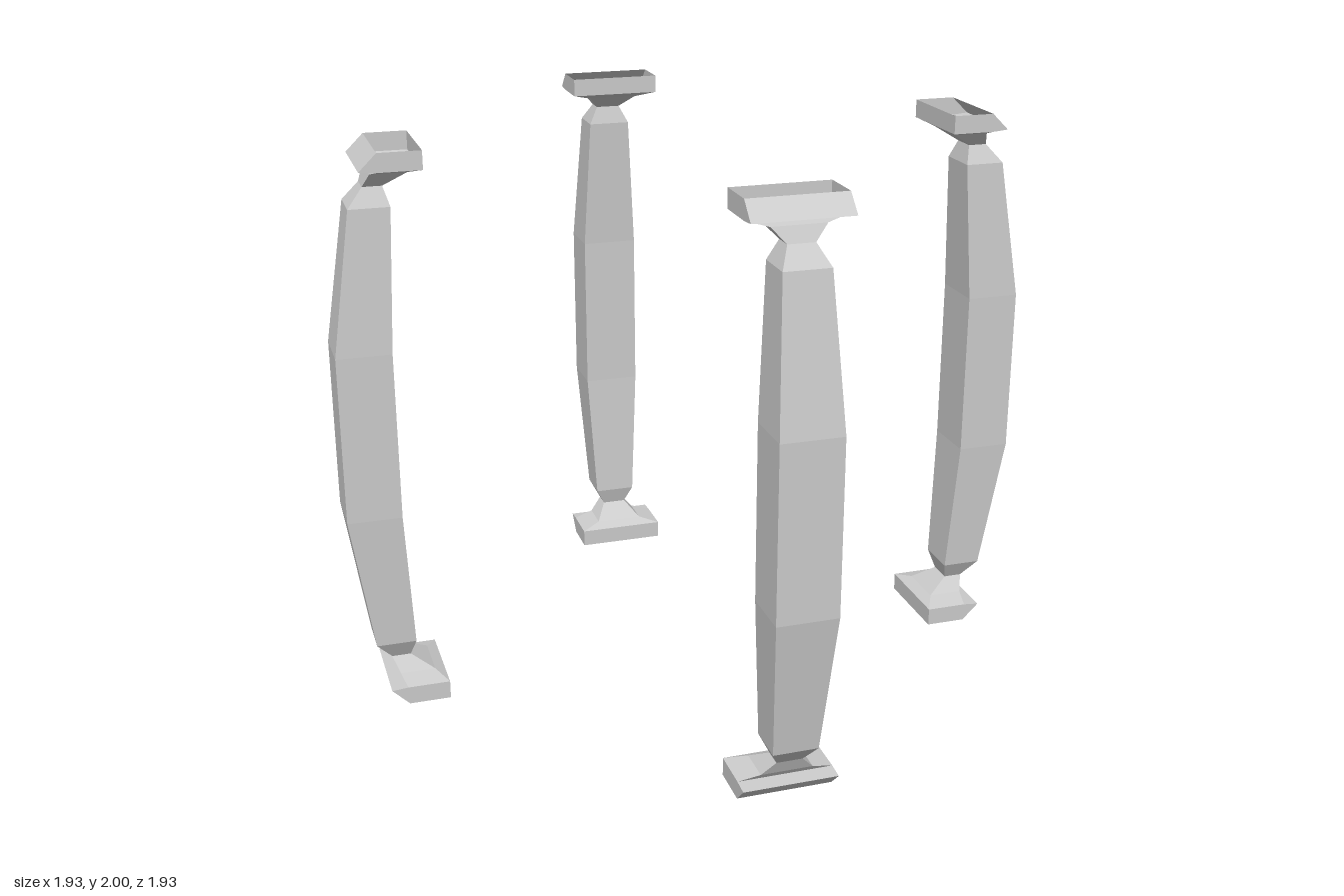
import * as THREE from 'three';

// Upper half cross-sections: [height, inner radius, outer radius, half width]
const UPPER = [
  [1.30, 1.066, 1.257, 0.105],
  [1.80, 1.04, 1.181, 0.078],
  [1.865, 1.059, 1.126, 0.045],
  [1.915, 0.98, 1.104, 0.09],
  [1.935, 0.94, 1.09, 0.165],
  [1.94, 0.94, 1.148, 0.165],
  [2.00, 0.94, 1.087, 0.165],
];
const LOWER = UPPER.map(([y, ...rest]) => [2 - y, ...rest]).reverse();

// Open-ended rectangular tube lofted through the sections, bottom to top
function loft(sections) {
  const positions = [];
  const rings = sections.map(([y, rIn, rOut, w]) => [
    [w, y, rOut], [w, y, rIn], [-w, y, rIn], [-w, y, rOut],
  ]);
  for (let i = 0; i < rings.length - 1; i++) {
    for (let j = 0; j < 4; j++) {
      const k = (j + 1) % 4;
      const a = rings[i][j], b = rings[i][k], c = rings[i + 1][k], d = rings[i + 1][j];
      positions.push(...a, ...b, ...c, ...a, ...c, ...d);
    }
  }
  const geometry = new THREE.BufferGeometry();
  geometry.setAttribute('position', new THREE.Float32BufferAttribute(positions, 3));
  geometry.computeVertexNormals();
  return geometry;
}

export function createModel() {
  const model = new THREE.Group();
  model.name = 'cornerPosts';
  const grey = new THREE.MeshStandardMaterial({
    color: 0xcccccc, flatShading: true, side: THREE.DoubleSide,
  });
  grey.name = 'grey';

  // Bowed shaft with necks, and a hollow bracket foot at each end
  const parts = {
    lowerBracket: loft(LOWER.slice(0, 5)),
    shaft: loft([...LOWER.slice(4), ...UPPER.slice(0, 3)]),
    upperBracket: loft(UPPER.slice(2)),
  };

  // One post on each diagonal
  ['frontLeft', 'backLeft', 'backRight', 'frontRight'].forEach((corner, i) => {
    const post = new THREE.Group();
    post.name = corner + 'Post';
    for (const [name, geometry] of Object.entries(parts)) {
      const mesh = new THREE.Mesh(geometry, grey);
      mesh.name = name;
      post.add(mesh);
    }
    post.rotation.y = Math.PI / 4 + (i * Math.PI) / 2;
    model.add(post);
  });
  return model;
}
